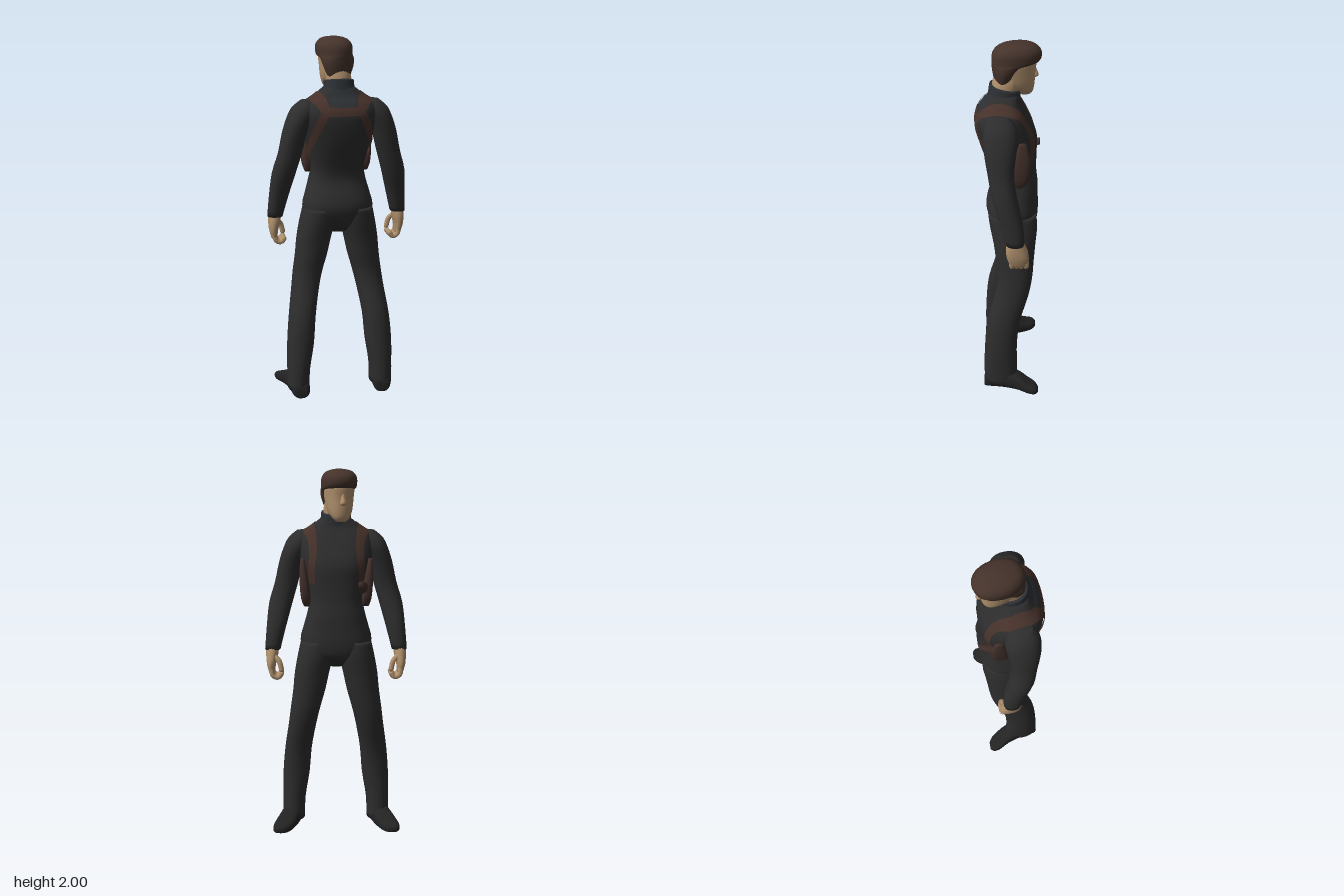
import * as THREE from 'three';

const mat = (name, color, side = THREE.FrontSide) => {
  const m = new THREE.MeshStandardMaterial({ color, side });
  m.name = name;
  return m;
};

// Signed power, used for rounded-box cross-sections
const spow = (v, p) => Math.sign(v) * Math.pow(Math.abs(v), p);

// Smoothly subdivide a list of rings (Catmull-Rom on every component)
function refine(rings, steps = 3) {
  const out = [];
  const last = rings.length - 1;
  for (let i = 0; i < last; i++) {
    const p = [rings[Math.max(i - 1, 0)], rings[i], rings[i + 1], rings[Math.min(i + 2, last)]];
    for (let s = 0; s < steps; s++) {
      const t = s / steps;
      out.push(p[1].map((b, k) => {
        const a = p[0][k], c = p[2][k], d = p[3][k];
        return b + 0.5 * t * (c - a + t * (2 * a - 5 * b + 4 * c - d + t * (3 * (b - c) + d - a)));
      }));
    }
  }
  out.push(rings[last]);
  return out;
}

// Skin rings [t, centreX, radiusX, low, high]; t runs along y, or along z for shoes
function loft(rings, { n = 24, power = 2.2, alongZ = false, tilt = 0, steps = 3 } = {}) {
  const rows = refine(rings, steps);
  const pos = [], idx = [];
  const put = (x, t, w) => (alongZ ? pos.push(x, w, t) : pos.push(x, t + tilt * w, w));
  rows.forEach(([t, cx, rx, lo, hi]) => {
    for (let j = 0; j < n; j++) {
      const a = (j / n) * Math.PI * 2;
      put(cx + rx * spow(Math.cos(a), 2 / power), t, (lo + hi) / 2 + ((hi - lo) / 2) * spow(Math.sin(a), 2 / power));
    }
  });
  for (let i = 0; i < rows.length - 1; i++) {
    for (let j = 0; j < n; j++) {
      const a = i * n + j, b = i * n + ((j + 1) % n);
      idx.push(a, a + n, b, b, a + n, b + n);
    }
  }
  // End caps
  const e = rows.length - 1, c0 = rows.length * n, c1 = c0 + 1;
  for (const r of [rows[0], rows[e]]) put(r[1], r[0], (r[3] + r[4]) / 2);
  for (let j = 0; j < n; j++) {
    const k = (j + 1) % n;
    idx.push(c0, j, k, c1, e * n + k, e * n + j);
  }
  return surface(pos, idx);
}

function surface(pos, idx) {
  const g = new THREE.BufferGeometry();
  g.setAttribute('position', new THREE.Float32BufferAttribute(pos, 3));
  g.setIndex(idx);
  g.computeVertexNormals();
  return g;
}

const TORSO = [
  [0.94, 0, 0.05, -0.09, 0.04], [1.0, 0, 0.165, -0.15, 0.09], [1.08, 0, 0.195, -0.163, 0.12],
  [1.15, 0, 0.18, -0.16, 0.11], [1.23, 0, 0.158, -0.158, 0.085], [1.3, 0, 0.147, -0.15, 0.093],
  [1.4, 0, 0.165, -0.15, 0.13], [1.5, 0, 0.19, -0.15, 0.16], [1.6, 0, 0.21, -0.108, 0.174],
  [1.66, 0, 0.19, -0.078, 0.15], [1.695, 0, 0.14, -0.062, 0.12], [1.74, 0, 0.082, -0.055, 0.102],
];
const TORSO_POWER = 2.4;
const torsoRows = refine(TORSO);

// Push a point onto the torso surface
function onTorso(p, lift) {
  let i = 0;
  while (i < torsoRows.length - 2 && torsoRows[i + 1][0] < p.y) i++;
  const a = torsoRows[i], b = torsoRows[i + 1];
  const t = THREE.MathUtils.clamp((p.y - a[0]) / (b[0] - a[0]), 0, 1);
  const [, , rx, lo, hi] = a.map((v, k) => v + (b[k] - v) * t);
  const cz = (lo + hi) / 2, hz = (hi - lo) / 2;
  const dx = Math.abs(p.x / rx), dz = Math.abs((p.z - cz) / hz);
  const k = lift / Math.pow(dx ** TORSO_POWER + dz ** TORSO_POWER, 1 / TORSO_POWER);
  return [p.x * k, p.y, cz + (p.z - cz) * k];
}

// Band that follows the torso along a path
function band(points, halfWidth, lift) {
  const curve = new THREE.CatmullRomCurve3(points.map((p) => new THREE.Vector3(...p)));
  const pos = [], idx = [], N = 24, M = 4;
  for (let i = 0; i <= N; i++) {
    const c = curve.getPoint(i / N);
    const out = new THREE.Vector3(c.x, 0.06, c.z - 0.02).normalize();
    const side = curve.getTangent(i / N).cross(out).normalize();
    for (let j = 0; j <= M; j++) {
      pos.push(...onTorso(c.clone().addScaledVector(side, halfWidth * ((2 * j) / M - 1)), lift));
      if (i < N && j < M) {
        const a = i * (M + 1) + j, b = a + M + 1;
        idx.push(a, b, a + 1, a + 1, b, b + 1);
      }
    }
  }
  return surface(pos, idx);
}

export function createModel() {
  const suit = mat('suit charcoal', 0x2d2d2e);
  const slate = mat('collar slate', 0x2c3034, THREE.DoubleSide);
  const shoe = mat('shoe black', 0x232323);
  const skin = mat('skin', 0xb2926e);
  const hair = mat('hair brown', 0x45332b);
  const leather = mat('strap leather', 0x46312a, THREE.DoubleSide);
  const holsterMat = mat('holster leather', 0x42302b);

  const model = new THREE.Group();
  model.name = 'standingMan';
  const add = (name, geo, material, parent = model) => {
    const m = new THREE.Mesh(geo, material);
    m.name = name;
    parent.add(m);
    return m;
  };

  // Torso, collar and neck
  add('torso', loft(TORSO, { n: 32, power: TORSO_POWER }), suit);
  add('collar', loft([
    [1.69, 0, 0.1, -0.06, 0.11], [1.73, 0, 0.084, -0.062, 0.104], [1.77, 0, 0.079, -0.062, 0.098],
  ], { tilt: 0.18 }), slate);
  add('upperBackPanel', band([[0, 1.74, 0.11], [0, 1.69, 0.14], [0, 1.63, 0.18]], 0.075, 1.02), slate);
  add('neck', loft([[1.7, 0, 0.06, -0.04, 0.08], [1.78, 0, 0.068, -0.06, 0.085], [1.85, -0.01, 0.065, -0.08, 0.07]]), skin);

  // Head, turned slightly to one side
  const head = new THREE.Group();
  head.name = 'head';
  head.position.set(-0.015, 0, -0.04);
  head.rotation.y = 0.2;
  model.add(head);
  add('face', loft([
    [1.725, 0, 0.026, -0.075, -0.02], [1.745, 0, 0.046, -0.088, 0.0], [1.785, 0, 0.066, -0.095, 0.07],
    [1.85, 0, 0.076, -0.098, 0.1], [1.91, 0, 0.081, -0.105, 0.11], [1.95, 0, 0.07, -0.09, 0.09],
  ]), skin, head);
  add('nose', loft([
    [1.808, 0, 0.008, -0.1, -0.08], [1.82, 0, 0.017, -0.118, -0.08], [1.85, 0, 0.011, -0.107, -0.08], [1.88, 0, 0.007, -0.098, -0.08],
  ], { n: 12 }), skin, head);
  add('hair', loft([
    [1.795, 0, 0.062, 0.03, 0.112], [1.85, 0, 0.083, 0.005, 0.122], [1.888, 0, 0.089, -0.04, 0.126],
    [1.905, 0, 0.091, -0.118, 0.127], [1.95, 0, 0.092, -0.13, 0.122], [1.98, 0, 0.076, -0.105, 0.095],
    [1.994, 0, 0.05, -0.07, 0.05], [2.0, 0, 0.018, -0.02, 0.01],
  ], { n: 28 }), hair, head);

  // Back yoke joining both shoulder straps
  add('backYoke', band([[-0.105, 1.625, 0.17], [0, 1.622, 0.18], [0.105, 1.625, 0.17]], 0.024, 1.04), leather);

  for (const s of [1, -1]) {
    const side = s > 0 ? 'left' : 'right';
    const mirror = (rings) => rings.map(([t, cx, ...r]) => [t, cx * s, ...r]);
    const path = (pts) => pts.map(([x, y, z]) => [x * s, y, z]);
    const tube = (name, pts, r) => {
      const v = path(pts).map((p) => new THREE.Vector3(...p));
      add(name, new THREE.TubeGeometry(new THREE.CatmullRomCurve3(v), 10, r, 8), skin);
      add(name + 'Tip', new THREE.SphereGeometry(r, 8, 6).translate(...v[v.length - 1].toArray()), skin);
    };

    // Leg
    add(side + 'Leg', loft(mirror([
      [0.035, 0.24, 0.062, -0.055, 0.136], [0.15, 0.238, 0.064, -0.05, 0.138], [0.3, 0.225, 0.075, -0.05, 0.132],
      [0.45, 0.212, 0.075, -0.068, 0.117], [0.6, 0.188, 0.077, -0.112, 0.077], [0.7, 0.17, 0.082, -0.132, 0.06],
      [0.8, 0.149, 0.089, -0.14, 0.068], [0.9, 0.133, 0.095, -0.148, 0.08], [1.0, 0.112, 0.098, -0.157, 0.1],
      [1.08, 0.1, 0.092, -0.15, 0.11],
    ])), suit);

    // Shoe, toe turned outward
    add(side + 'Shoe', loft(mirror([
      [0.139, 0.235, 0.03, 0, 0.05], [0.12, 0.235, 0.05, 0, 0.09], [0.03, 0.245, 0.054, 0, 0.11],
      [-0.05, 0.265, 0.056, 0, 0.1], [-0.11, 0.292, 0.057, 0, 0.066], [-0.15, 0.308, 0.046, 0, 0.05],
      [-0.171, 0.315, 0.022, 0.008, 0.034],
    ]), { alongZ: true, n: 20, power: 2.8 }), shoe);

    // Arm
    add(side + 'Arm', loft(mirror([
      [1.03, 0.348, 0.042, -0.085, 0.012], [1.15, 0.328, 0.053, -0.075, 0.045], [1.28, 0.303, 0.064, -0.045, 0.085],
      [1.39, 0.271, 0.064, -0.03, 0.105], [1.5, 0.245, 0.066, -0.04, 0.123], [1.58, 0.215, 0.07, -0.05, 0.13],
      [1.635, 0.19, 0.067, -0.035, 0.118], [1.675, 0.17, 0.04, 0.0, 0.09],
    ])), suit);

    // Hand with curled fingers
    add(side + 'Palm', loft(mirror([
      [0.9, 0.352, 0.016, -0.095, -0.01], [0.95, 0.356, 0.025, -0.108, 0.008], [1.0, 0.352, 0.033, -0.098, 0.014],
      [1.05, 0.348, 0.036, -0.08, 0.006],
    ]), { n: 18 }), skin);
    for (let f = 0; f < 4; f++) {
      const z = -0.094 + f * 0.025;
      tube(side + 'Finger', [[0.355, 0.93, z], [0.345, 0.892, z], [0.318, 0.882, z], [0.302, 0.9, z]], 0.0145);
    }
    tube(side + 'Thumb', [[0.34, 1.0, -0.075], [0.312, 0.97, -0.088], [0.3, 0.925, -0.092]], 0.0145);

    // Shoulder harness
    add(side + 'ShoulderStrap', band(path([
      [0.09, 1.62, 0.17], [0.112, 1.675, 0.12], [0.13, 1.7, 0.04], [0.135, 1.66, -0.06], [0.138, 1.55, -0.13], [0.145, 1.4, -0.13],
    ]), 0.022, 1.05), leather);
    add(side + 'SideStrap', band(path([
      [0.095, 1.615, 0.17], [0.13, 1.53, 0.14], [0.165, 1.44, 0.08], [0.165, 1.37, -0.02],
    ]), 0.02, 1.05), leather);
    add(side + 'Holster', loft(mirror([
      [1.27, 0.16, 0.016, -0.075, -0.035], [1.31, 0.164, 0.026, -0.105, -0.02], [1.38, 0.17, 0.027, -0.115, -0.02],
      [1.46, 0.178, 0.02, -0.11, -0.035], [1.53, 0.182, 0.01, -0.09, -0.055],
    ]), { n: 18, power: 2.8 }), holsterMat);
  }

  // Grip standing forward out of the right holster
  add('holsterGrip', loft([
    [-0.08, -0.155, 0.024, 1.33, 1.4], [-0.13, -0.142, 0.021, 1.36, 1.41], [-0.172, -0.13, 0.016, 1.38, 1.415],
  ], { alongZ: true, n: 14, power: 2.8 }), holsterMat);

  return model;
}
